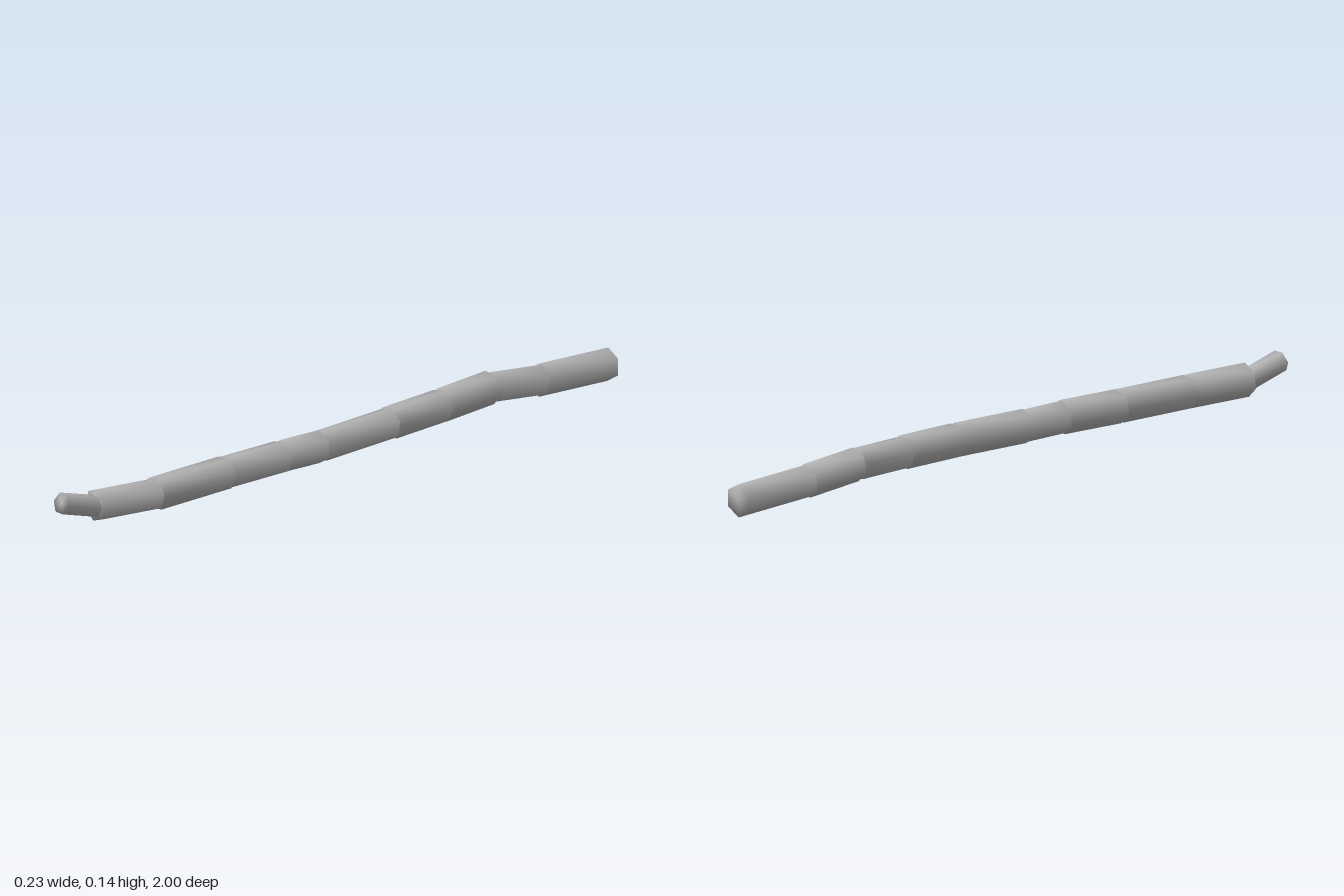
import * as THREE from 'three';
import { mergeVertices } from 'three/addons/utils/BufferGeometryUtils.js';

// Six-sided closed rod along z, soft-shaded right over its ends
function rodGeometry(radius, length, roll) {
  const g = new THREE.CylinderGeometry(radius, radius, length, 6, 1, false, Math.PI / 2);
  g.deleteAttribute('normal');
  g.deleteAttribute('uv');
  const rod = mergeVertices(g, 1e-4);
  rod.rotateX(Math.PI / 2);
  rod.rotateZ(THREE.MathUtils.degToRad(roll));
  rod.computeVertexNormals();
  return rod;
}

export function createModel() {
  const group = new THREE.Group();
  group.name = 'segmentedStick';
  const grey = new THREE.MeshStandardMaterial({ color: 0xb4b4b4 });
  grey.name = 'grey';

  function addRod(name, from, to, radius, roll) {
    const a = new THREE.Vector3(...from), b = new THREE.Vector3(...to);
    const mesh = new THREE.Mesh(rodGeometry(radius, a.distanceTo(b), roll), grey);
    mesh.name = name;
    mesh.position.copy(a).add(b).multiplyScalar(0.5);
    mesh.lookAt(b);
    group.add(mesh);
  }

  // Joint centres from back to front, with the roll of the segment that follows
  const joints = [
    [-0.073, 0.049, -0.997, 32],
    [-0.053, 0.063, -0.745, 20],
    [-0.046, 0.082, -0.57, -10],
    [-0.014, 0.081, -0.38, 8],
    [0.012, 0.080, -0.18, 20],
    [0.037, 0.076, 0.08, 32],
    [0.043, 0.079, 0.213, 15],
    [0.051, 0.078, 0.415, 5],
    [0.070, 0.077, 0.67, 20],
    [0.058, 0.083, 0.865, 0],
  ];
  for (let i = 0; i < joints.length - 1; i++) {
    addRod('segment' + (i + 1), joints[i].slice(0, 3), joints[i + 1].slice(0, 3), 0.047, joints[i][3]);
  }

  // Thin upturned tip
  addRod('tip', [0.058, 0.077, 0.85], [0.066, 0.117, 0.988], 0.031, 0);
  return group;
}
